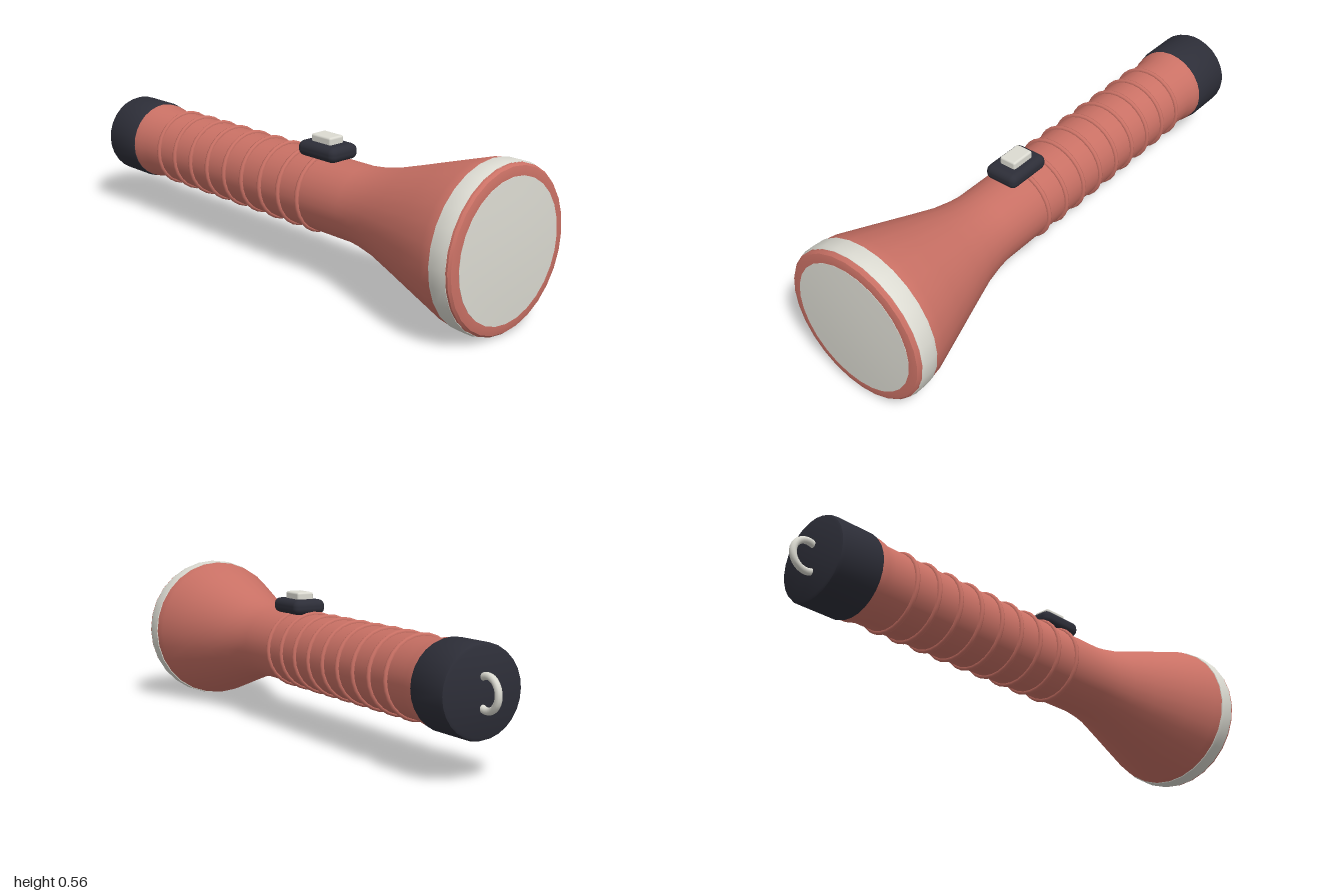
import * as THREE from 'three';
import { toCreasedNormals } from 'three/addons/utils/BufferGeometryUtils.js';
import { RoundedBoxGeometry } from 'three/addons/geometries/RoundedBoxGeometry.js';

const AXIS_Y = 0.28;
const SIDES = 28;

export function createModel() {
  const model = new THREE.Group();
  model.name = 'flashlight';

  const material = (name, color) => {
    const m = new THREE.MeshStandardMaterial({ color });
    m.name = name;
    return m;
  };
  const red = material('coral red', 0xca7165);
  const dark = material('charcoal', 0x2d2e38);
  const cream = material('warm white', 0xdcdbd2);

  const add = (name, geometry, mat, x, y, z = 0) => {
    const mesh = new THREE.Mesh(geometry, mat);
    mesh.name = name;
    mesh.position.set(x, y, z);
    model.add(mesh);
    return mesh;
  };

  // Turned part along x; profile is a list of [x, radius] from tail to head
  const turn = (name, profile, mat) => {
    const points = profile.map(([x, r]) => new THREE.Vector2(r, x));
    const geometry = new THREE.LatheGeometry(points, SIDES).rotateZ(-Math.PI / 2);
    return add(name, toCreasedNormals(geometry, 0.6), mat, 0, AXIS_Y);
  };

  // Handle and flared head
  turn('body', [
    [-0.76, 0], [-0.76, 0.145], [-0.72, 0.144], [-0.685, 0.135], [-0.2, 0.135], [0.38, 0.135],
    [0.44, 0.142], [0.51, 0.156], [0.6, 0.184], [0.75, 0.232], [0.87, 0.27], [0.9, 0.275],
    [0.975, 0.276],
  ], red);

  // Grip ribs
  for (let i = 0; i < 9; i++) {
    const rib = new THREE.TorusGeometry(0.136, 0.009, 8, SIDES).rotateY(Math.PI / 2);
    add('gripRib', rib, red, -0.595 + i * 0.098, AXIS_Y);
  }

  // Tail cap
  turn('tailCap', [
    [-0.915, 0], [-0.915, 0.138], [-0.911, 0.146], [-0.9, 0.15],
    [-0.757, 0.15], [-0.747, 0.146], [-0.744, 0.138],
  ], dark);

  // Head band, front rim and domed lens
  turn('headBand', [
    [0.908, 0.27], [0.91, 0.278], [0.925, 0.28], [0.96, 0.28], [0.973, 0.277], [0.977, 0.268],
  ], cream);
  turn('frontRim', [
    [0.97, 0.275], [0.98, 0.275], [0.988, 0.268], [0.992, 0.252], [0.992, 0.234],
  ], red);
  turn('lens', [[0.985, 0.238], [0.993, 0.237], [0.996, 0.18], [0.999, 0.1], [1.0, 0]], cream);

  // Switch
  add('switchBase', new RoundedBoxGeometry(0.18, 0.055, 0.13, 3, 0.024), dark, 0.2, 0.4375);
  add('switchButton', new RoundedBoxGeometry(0.095, 0.035, 0.066, 2, 0.008), cream, 0.198, 0.473);

  // Hanging loop
  add('hangingLoop', new THREE.TorusGeometry(0.053, 0.012, 10, 28), cream, -0.935, AXIS_Y);

  return model;
}
